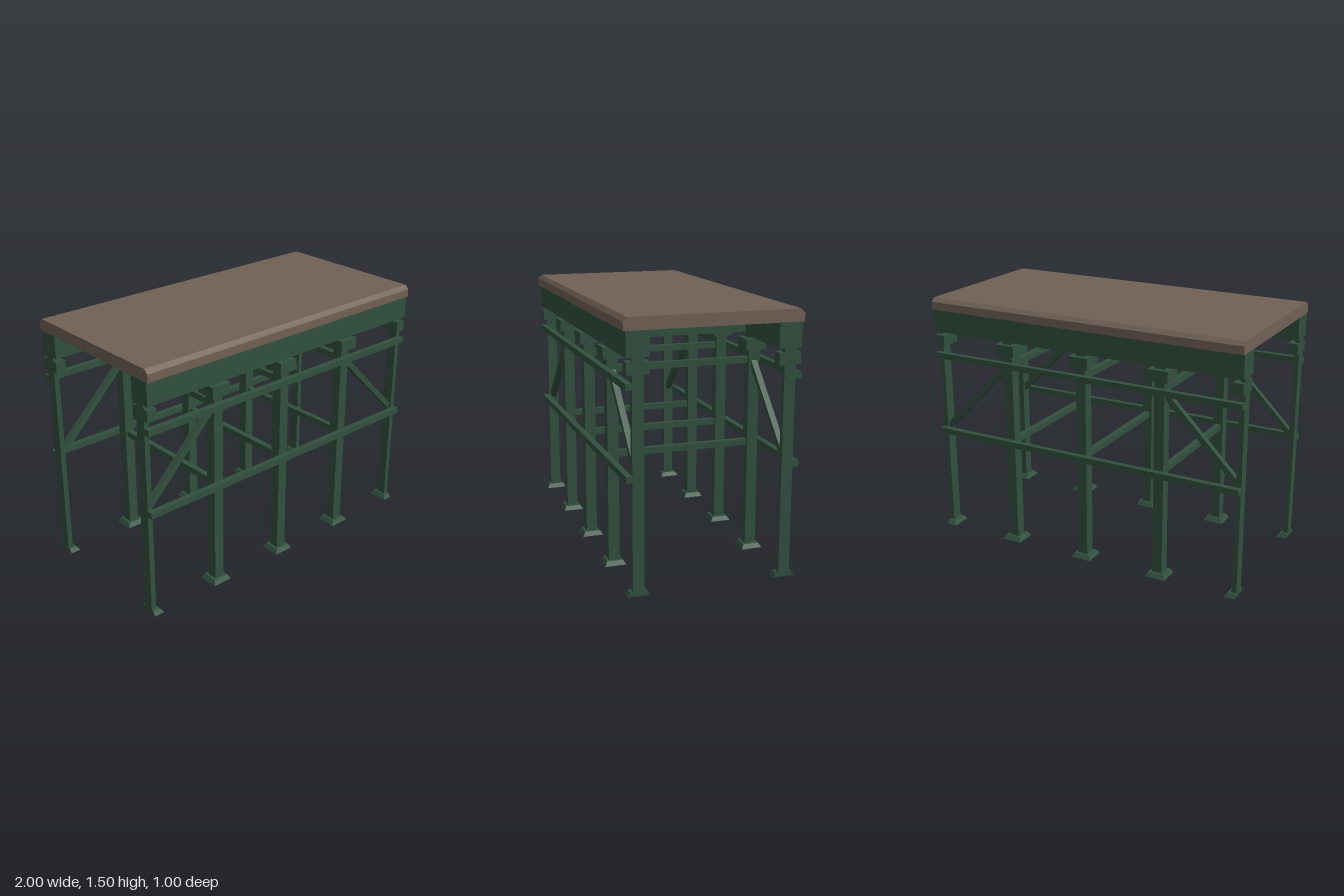
import * as THREE from 'three';

const green = new THREE.MeshStandardMaterial({ color: 0x31503f, flatShading: true });
const brown = new THREE.MeshStandardMaterial({ color: 0x706155, flatShading: true });

// Box given by its min/max extents on each axis
function box(name, x0, x1, y0, y1, z0, z1) {
  const g = new THREE.BoxGeometry(x1 - x0, y1 - y0, z1 - z0);
  g.translate((x0 + x1) / 2, (y0 + y1) / 2, (z0 + z1) / 2);
  const m = new THREE.Mesh(g, green);
  m.name = name;
  return m;
}

export function createModel() {
  const root = new THREE.Group();
  root.name = 'pier';

  // Deck slab with bevelled long edges, extruded along x
  const s = new THREE.Shape();
  [[-0.5, 1.43], [0.5, 1.43], [0.5, 1.477], [0.477, 1.5], [-0.477, 1.5], [-0.5, 1.477]]
    .forEach(([a, b], i) => (i ? s.lineTo(a, b) : s.moveTo(a, b)));
  const deckGeo = new THREE.ExtrudeGeometry(s, { depth: 2, bevelEnabled: false });
  deckGeo.translate(0, 0, -1).rotateY(Math.PI / 2);
  const deck = new THREE.Mesh(deckGeo, brown);
  deck.name = 'deck';
  root.add(deck);

  const postZ = 0.4225;
  for (const side of [1, -1]) {
    const row = new THREE.Group();
    row.name = side > 0 ? 'frontRow' : 'backRow';
    const c = side * postZ;

    // Long girder and outer rails
    row.add(box('girder', -1, 1, 1.293, 1.43, c - 0.065, c + 0.065));
    const rz = side * 0.4725;
    for (const y of [0.635, 1.125]) row.add(box('rail', -1, 1, y, y + 0.036, rz - 0.0175, rz + 0.0175));

    // Posts with caps and tapered feet; the outermost ones are cut at the deck end
    for (const x of [-1, -0.5, 0, 0.5, 1]) {
      const lo = (h) => Math.max(-1, x - h);
      const hi = (h) => Math.min(1, x + h);
      row.add(box('post', lo(0.031), hi(0.031), 0.01, 1.3, c - 0.0325, c + 0.0325));
      row.add(box('postCap', lo(0.062), hi(0.062), 1.204, 1.27, c - 0.062, c + 0.062));
      const foot = box('foot', lo(0.063), hi(0.063), 0, 0.026, c - 0.063, c + 0.063);
      const p = foot.geometry.attributes.position;
      for (let i = 0; i < p.count; i++) {
        if (p.getY(i) < 0.01) continue;
        const dx = p.getX(i) - x;
        p.setX(i, x + Math.sign(dx) * Math.min(Math.abs(dx), 0.047));
        p.setZ(i, c + Math.sign(p.getZ(i) - c) * 0.047);
      }
      foot.geometry.computeVertexNormals();
      row.add(foot);
    }

    // Diagonal braces in the end bays
    for (const end of [1, -1]) {
      const dx = -0.46, dy = 0.46;
      const brace = new THREE.Mesh(new THREE.BoxGeometry(Math.hypot(dx, dy) + 0.02, 0.034, 0.035), green);
      brace.name = 'diagonalBrace';
      brace.position.set(end * 0.75, 0.898, c);
      brace.rotation.z = -end * Math.atan2(dy, -dx);
      row.add(brace);
    }
    root.add(row);
  }

  // Cross beams and cross rails joining the two rows at the inner posts
  for (const x of [-0.5, 0, 0.5]) {
    root.add(box('crossBeam', x - 0.05, x + 0.05, 1.312, 1.43, -0.36, 0.36));
    for (const y of [0.635, 1.125]) root.add(box('crossRail', x - 0.0175, x + 0.0175, y, y + 0.036, -0.395, 0.395));
  }
  return root;
}
